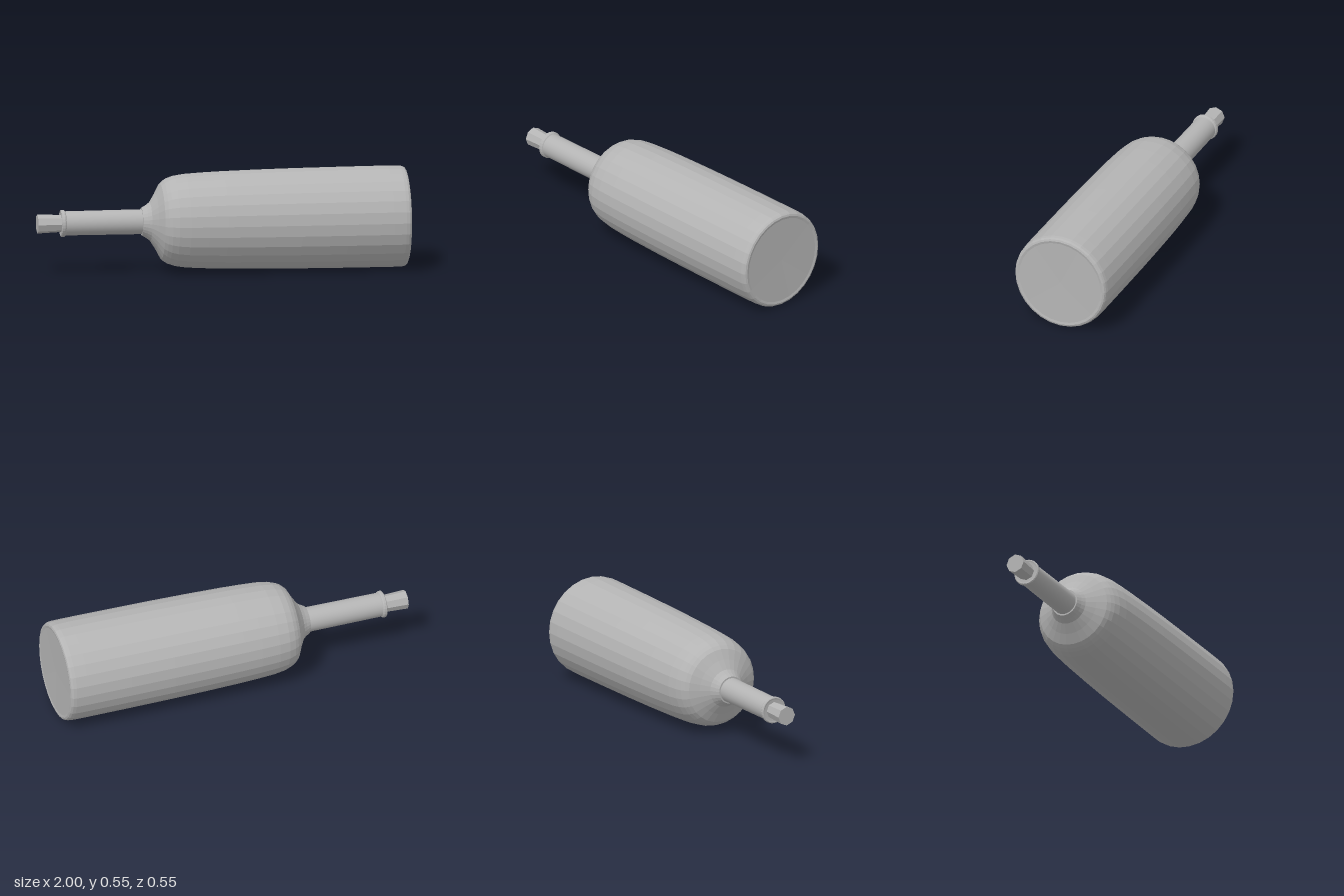
import * as THREE from 'three';

export function createModel() {
  const model = new THREE.Group();
  const bottle = new THREE.Group();
  bottle.name = 'bottle';
  const glass = new THREE.MeshStandardMaterial({ color: 0xb4b4b4 });
  glass.name = 'grey glass';
  const facetedGlass = glass.clone();
  facetedGlass.flatShading = true;

  // Turns a profile of [x, radius] pairs around the long axis
  const turn = (name, profile, sides, material) => {
    const points = profile.map(([x, r]) => new THREE.Vector2(r, x));
    const geometry = new THREE.LatheGeometry(points, sides);
    geometry.rotateZ(-Math.PI / 2);
    const mesh = new THREE.Mesh(geometry, material);
    mesh.name = name;
    bottle.add(mesh);
  };

  // Body with sloped shoulder, rounded bottom rim and closed base
  turn('body', [
    [-0.435, 0.066], [-0.435, 0.075], [-0.41, 0.089], [-0.39, 0.104],
    [-0.36, 0.152], [-0.333, 0.203], [-0.315, 0.219], [-0.295, 0.231],
    [-0.26, 0.243], [-0.2, 0.252], [-0.1, 0.258], [0, 0.262], [0.2, 0.267],
    [0.4, 0.27], [0.65, 0.272], [0.9, 0.273], [0.965, 0.272], [0.982, 0.269],
    [0.992, 0.263], [0.996, 0.253], [0.993, 0.24], [0.99, 0],
  ], 28, facetedGlass);

  // Neck
  turn('neck', [[-0.86, 0.065], [-0.65, 0.066], [-0.425, 0.067]], 28, glass);

  // Lip around the mouth
  turn('lip', [
    [-0.868, 0], [-0.872, 0.06], [-0.874, 0.068], [-0.87, 0.073],
    [-0.858, 0.073], [-0.852, 0.07], [-0.848, 0.064],
  ], 28, facetedGlass);

  // Stopper, slightly flared at its outer end
  turn('stopper', [[-1, 0], [-1, 0.052], [-0.865, 0.046]], 8, facetedGlass);

  // The bottle lies on its side, turned by a hair
  bottle.rotation.y = -0.006;
  bottle.position.set(0, 0.274, -0.006);
  model.add(bottle);
  return model;
}
